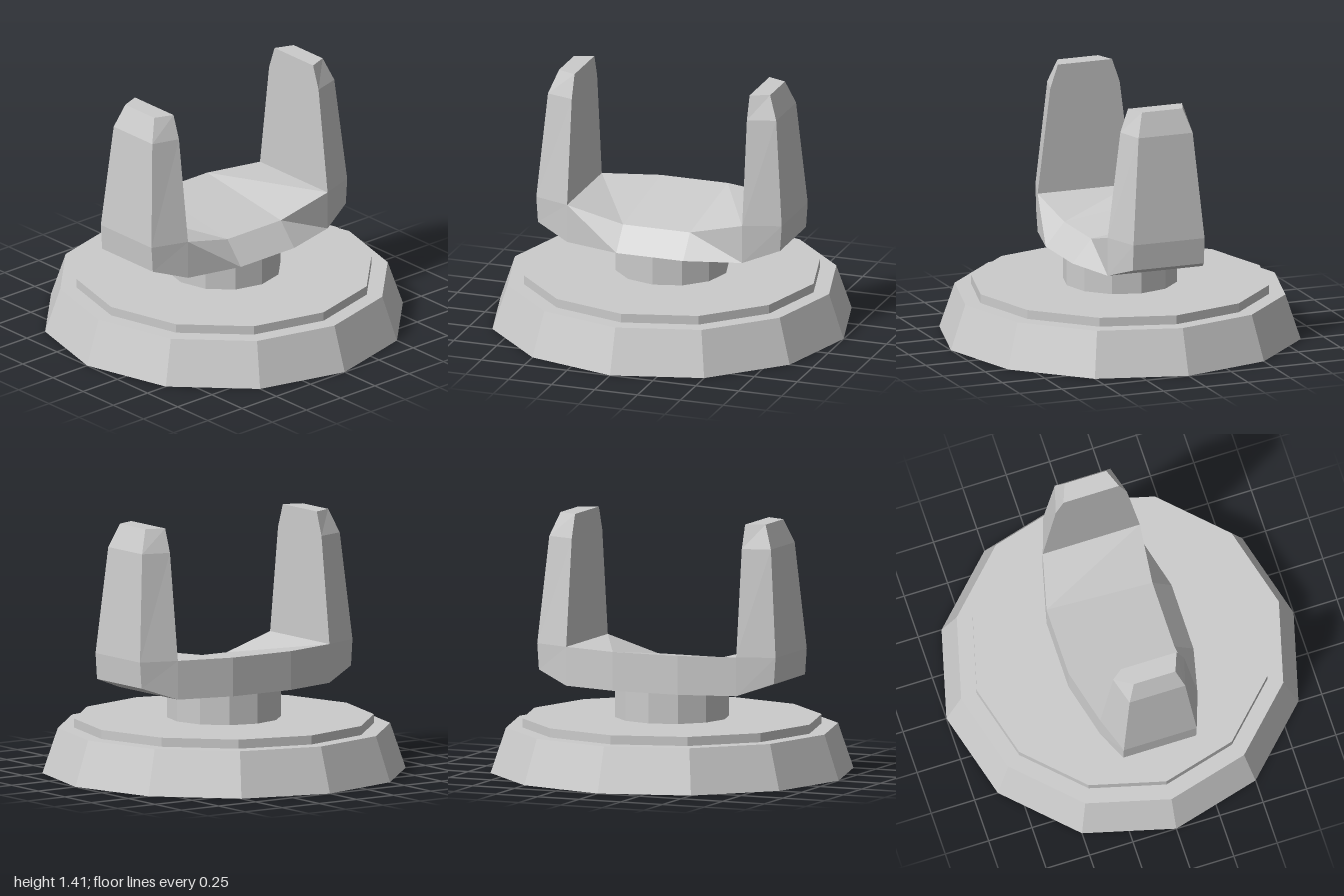
import * as THREE from 'three';

const material = new THREE.MeshStandardMaterial({
  color: 0xcccccc, flatShading: true, side: THREE.DoubleSide,
});

// Closed solid through four-cornered sections; corners run counter-clockwise
// when looked at from the end the sections advance towards.
function loft(sections) {
  const positions = [];
  const quad = (a, b, c, d) => positions.push(...a, ...b, ...c, ...a, ...c, ...d);
  for (let s = 0; s < sections.length - 1; s++) {
    const lower = sections[s], upper = sections[s + 1];
    for (let i = 0; i < 4; i++) {
      const j = (i + 1) % 4;
      quad(lower[i], lower[j], upper[j], upper[i]);
    }
  }
  quad(...[...sections[0]].reverse());
  quad(...sections[sections.length - 1]);
  const geometry = new THREE.BufferGeometry();
  geometry.setAttribute('position', new THREE.Float32BufferAttribute(positions, 3));
  geometry.computeVertexNormals();
  return geometry;
}

export function createModel() {
  const model = new THREE.Group();
  model.name = 'cradleStand';
  const add = (name, geometry) => {
    const mesh = new THREE.Mesh(geometry, material);
    mesh.name = name;
    model.add(mesh);
    return mesh;
  };

  // Hollow twelve-sided base with a stepped top, open underneath
  const profile = [[1, 0], [0.915, 0.25], [0.825, 0.25], [0.825, 0.3], [0, 0.3]];
  add('base', new THREE.LatheGeometry(profile.map(([r, y]) => new THREE.Vector2(r, y)), 12));

  // Short neck between base and seat
  add('neck', new THREE.CylinderGeometry(0.315, 0.315, 0.175, 12, 1, true)).position.y = 0.3875;

  // Seat: straight back edge, front edge dipped and leaning back
  const seatSection = (x, depth, frontTopY, frontTopZ) => [
    [x, 0.475, depth], [x, 0.475, -depth], [x, 0.69, -depth], [x, frontTopY, frontTopZ],
  ];
  add('seat', loft([
    seatSection(-0.51, 0.28, 0.69, 0.28),
    seatSection(-0.195, 0.36, 0.605, 0.25),
    seatSection(0.195, 0.36, 0.605, 0.25),
    seatSection(0.51, 0.28, 0.69, 0.28),
  ]));

  // Tapered upright arms: inner y, outer y, outer x, inner half depth, outer half depth
  const armGeometry = loft([
    [0.475, 0.545, 0.705, 0.28, 0.21],
    [0.69, 0.69, 0.715, 0.28, 0.21],
    [1.28, 1.28, 0.665, 0.205, 0.16],
    [1.41, 1.41, 0.615, 0.16, 0.12],
  ].map(([yIn, yOut, x, zIn, zOut]) => [
    [0.51, yIn, zIn], [x, yOut, zOut], [x, yOut, -zOut], [0.51, yIn, -zIn],
  ]));
  add('leftArm', armGeometry);
  add('rightArm', armGeometry).rotation.y = Math.PI;

  return model;
}
